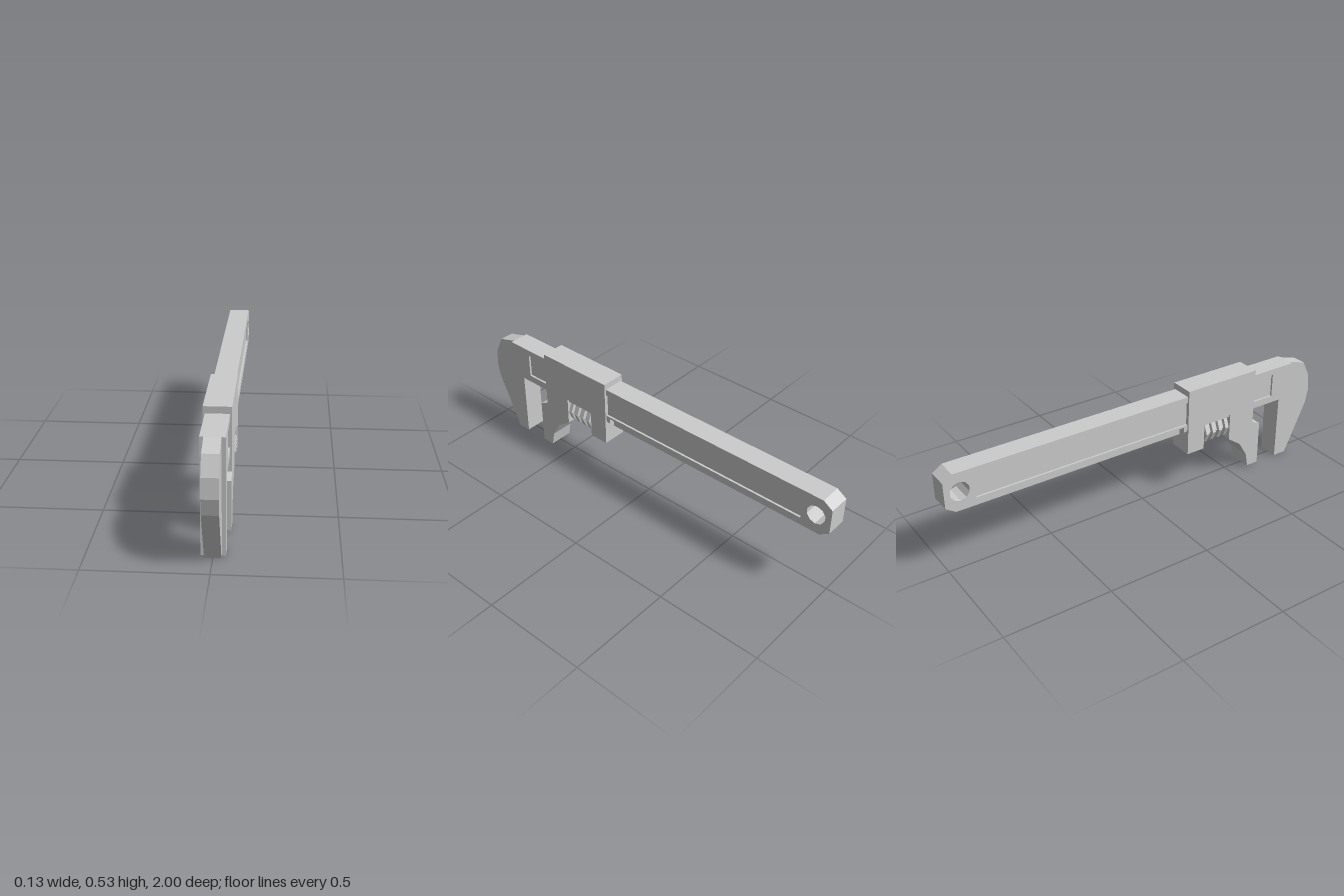
import * as THREE from 'three';

const material = new THREE.MeshStandardMaterial({ color: 0xcccccc, flatShading: true });

// Extrudes a side profile of [z, y] points across x, centred on xCentre
function slab(name, profile, width, xCentre = 0, holes = []) {
  const toPoints = (list) => list.map(([z, y]) => new THREE.Vector2(z, y));
  const shape = new THREE.Shape(toPoints(profile));
  for (const hole of holes) shape.holes.push(new THREE.Path(toPoints(hole)));
  const geometry = new THREE.ExtrudeGeometry(shape, { depth: width, bevelEnabled: false });
  geometry.translate(0, 0, -width / 2).rotateY(-Math.PI / 2).translate(xCentre, 0, 0);
  const mesh = new THREE.Mesh(geometry, material);
  mesh.name = name;
  return mesh;
}

function ring(z, y, radius, sides) {
  return Array.from({ length: sides }, (_, i) => {
    const a = ((i + 0.5) / sides) * Math.PI * 2;
    return [z + radius * Math.cos(a), y + radius * Math.sin(a)];
  });
}

export function createModel() {
  const wrench = new THREE.Group();
  wrench.name = 'adjustableWrench';

  // Handle bar with its fixed jaw, hanging hole and a recessed panel on each side
  const barProfile = [
    [-1, 0.35], [-0.955, 0.32], [0.175, 0.32], [0.175, 0.345], [0.2, 0.345], [0.2, 0.32],
    [0.785, 0.32], [0.785, 0], [0.855, 0], [0.855, 0.5], [-0.955, 0.5], [-1, 0.47],
  ];
  const hangingHole = ring(-0.93, 0.41, 0.045, 10);
  const panel = [[-0.86, 0.355], [0.735, 0.355], [0.735, 0.47], [-0.86, 0.47]];
  const bar = new THREE.Group();
  bar.name = 'handleAndFixedJaw';
  bar.add(slab('barCore', barProfile, 0.08, 0, [hangingHole]));
  for (const side of [-1, 1]) {
    bar.add(slab(side > 0 ? 'leftRim' : 'rightRim', barProfile, 0.01, side * 0.045, [hangingHole, panel]));
  }
  wrench.add(bar);

  // Narrower curved spine behind the fixed jaw
  wrench.add(slab('jawSpine', [
    [0.85, 0], [0.875, 0], [0.985, 0.24], [1, 0.312], [0.99, 0.395], [0.95, 0.473], [0.855, 0.5], [0.85, 0.5],
  ], 0.068));

  // Sliding sleeve with the movable jaw and the gap for the adjusting screw
  wrench.add(slab('slidingJaw', [
    [0.22, 0.53], [0.22, 0.2], [0.315, 0.2], [0.315, 0.335], [0.47, 0.335], [0.47, 0.2],
    [0.54, 0.15], [0.585, 0.075], [0.598, 0.008], [0.66, 0.008], [0.66, 0.23], [0.615, 0.25], [0.615, 0.53],
  ], 0.117));

  // Ridged adjusting screw, lying along z
  const screwProfile = [new THREE.Vector2(0, 0), new THREE.Vector2(0.051, 0)];
  const ridges = 4, length = 0.153, pitch = length / ridges;
  for (let i = 0; i < ridges; i++) {
    for (const [radius, t] of [[0.051, 0.15], [0.064, 0.28], [0.064, 0.72], [0.051, 0.85]]) {
      screwProfile.push(new THREE.Vector2(radius, (i + t) * pitch));
    }
  }
  screwProfile.push(new THREE.Vector2(0.051, length), new THREE.Vector2(0, length));
  const screw = new THREE.Mesh(new THREE.LatheGeometry(screwProfile, 8).rotateX(Math.PI / 2), material);
  screw.name = 'adjustingScrew';
  screw.position.set(0, 0.272, 0.316);
  wrench.add(screw);

  return wrench;
}
